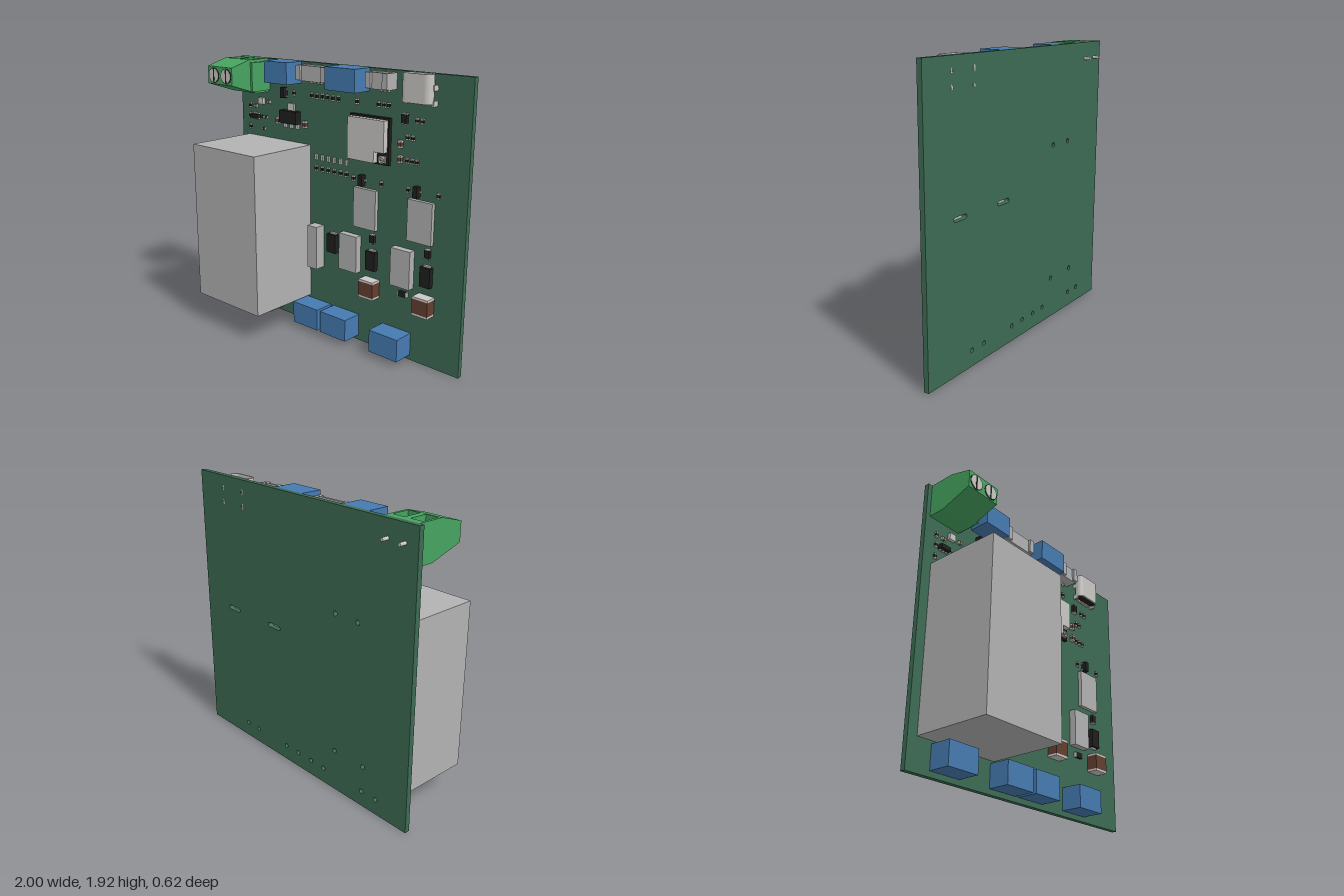
import * as THREE from 'three';

const F = -0.228, BACK = -0.263, TOP = 1.925; // board front face, back face, upper edge
const mat = (name, color, side = THREE.FrontSide) => {
  const m = new THREE.MeshStandardMaterial({ color, side });
  m.name = name;
  return m;
};

export function createModel() {
  const root = new THREE.Group();
  root.name = 'circuitBoard';
  const green = mat('boardGreen', 0x3d6b54), grey = mat('plainGrey', 0xb2b2b2),
    blue = mat('connectorBlue', 0x457ab0), lime = mat('terminalGreen', 0x46a360),
    black = mat('chipBlack', 0x1f1f1f), brown = mat('capacitorBrown', 0x633f30),
    metal = mat('metal', 0xcac8c4);

  const add = (name, geo, m, parent = root) => {
    const mesh = new THREE.Mesh(geo, m);
    mesh.name = name;
    parent.add(mesh);
    return mesh;
  };
  const group = (name) => {
    const g = new THREE.Group();
    g.name = name;
    root.add(g);
    return g;
  };
  // box given by its extents
  const box = (name, m, x0, x1, y0, y1, z1, z0 = F, parent = root) =>
    add(name, new THREE.BoxGeometry(x1 - x0, y1 - y0, z1 - z0)
      .translate((x0 + x1) / 2, (y0 + y1) / 2, (z0 + z1) / 2), m, parent);
  const poly = (pts) => new THREE.Shape(pts.map(([a, b]) => new THREE.Vector2(a, b)));
  const stadium = (P, cx, cy, w, h) => { // w >= h, full sizes
    const p = new P(), r = h / 2, d = w / 2 - r;
    p.absarc(cx + d, cy, r, -Math.PI / 2, Math.PI / 2, false);
    p.absarc(cx - d, cy, r, Math.PI / 2, Math.PI * 1.5, false);
    p.closePath();
    return p;
  };

  // board with slots and pin holes
  const plate = poly([[-1, 0], [1, 0], [1, TOP], [-1, TOP]]);
  for (const x of [0.68, 0.235]) plate.holes.push(stadium(THREE.Path, x, 0.985, 0.125, 0.03));
  const round = [[-0.365, 1.255], [-0.56, 1.255], [-0.365, 0.293], [-0.624, 0.293]];
  for (const x of [0.576, 0.45, 0.13, 0.004, -0.13, -0.255, -0.616, -0.74]) round.push([x, 0.107]);
  for (const [x, y] of round)
    plate.holes.push(new THREE.Path().absarc(x, y, 0.016, 0, Math.PI * 2, true));
  for (const x of [0.54, 0.745]) for (const y of [1.745, 1.84])
    plate.holes.push(new THREE.Path().absarc(x, y, 0.011, 0, Math.PI * 2, true));
  add('board', new THREE.ExtrudeGeometry(plate, { depth: F - BACK, bevelEnabled: false, curveSegments: 10 })
    .translate(0, 0, BACK), green);

  // large blocks
  box('powerSupply', grey, -0.93, -0.3, 0.215, 1.35, 0.31);
  for (const x of [-0.82, -0.333, -0.07, 0.38]) box('lowerConnector', blue, x, x + 0.236, 0.037, 0.196, -0.078);
  box('upperConnector', blue, -0.6, -0.38, 1.775, TOP, -0.078);
  box('upperConnector', blue, -0.03, 0.225, 1.775, TOP, -0.078);
  for (const x of [0.125, 0.575]) box('relay', grey, x, x + 0.19, 0.85, 1.128, -0.2);
  for (const x of [0.017, 0.467]) box('driver', grey, x, x + 0.157, 0.52, 0.783, -0.178);
  box('fuse', grey, -0.257, -0.17, 0.47, 0.785, -0.15);

  // screw terminal: slices along x, with wire wells open at the top
  const term = group('screwTerminal');
  const lower = [[F, 1.685], [-0.11, 1.685], [0.118, 1.757], [0.118, 1.88]];
  const solid = poly([...lower, [-0.045, TOP], [F, TOP]]);
  const well = poly([...lower, [-0.045, TOP], [-0.058, TOP], [-0.058, 1.8], [-0.182, 1.8], [-0.182, TOP], [F, TOP]]);
  const cuts = [-0.968, -0.948, -0.862, -0.82, -0.734, -0.715];
  for (let i = 0; i < 5; i++)
    add('terminalBody', new THREE.ExtrudeGeometry(i % 2 ? well : solid, { depth: cuts[i + 1] - cuts[i], bevelEnabled: false })
      .rotateY(-Math.PI / 2).translate(cuts[i + 1], 0, 0), lime, term);
  box('dovetail', lime, -0.715, -0.698, 1.7, 1.905, -0.055, F, term);
  for (const x of [-0.905, -0.777]) {
    add('screwRim', new THREE.CylinderGeometry(0.054, 0.054, 0.004, 24).rotateX(Math.PI / 2)
      .translate(x, 1.818, 0.118), black, term);
    add('screw', new THREE.CylinderGeometry(0.048, 0.048, 0.006, 24).rotateX(Math.PI / 2)
      .translate(x, 1.818, 0.119), metal, term);
    box('screwSlot', black, x - 0.006, x + 0.006, 1.772, 1.864, 0.123, 0.12, term);
    box('wireClamp', metal, x - 0.036, x + 0.036, 1.8, 1.806, -0.07, -0.17, term);
    add('terminalPin', new THREE.CylinderGeometry(0.011, 0.011, 0.09, 12).rotateX(Math.PI / 2)
      .translate(x, 1.813, -0.265), metal, term);
  }

  // side entry sockets, open at the top
  const socket = (x0, x1, n) => {
    const g = group('cableSocket'), t = 0.014;
    box('socketBack', grey, x0, x1, 1.81, 1.91, F + t, F, g);
    box('socketFront', grey, x0 + 0.03, x1 - 0.03, 1.81, 1.91, -0.142, -0.156, g);
    box('socketFloor', grey, x0, x1, 1.805, 1.825, -0.142, F, g);
    for (const x of [x0, x1 - t]) box('socketSide', grey, x, x + t, 1.81, 1.91, -0.142, F, g);
    for (const x of [x0, x1 - 0.04]) box('socketEar', grey, x, x + 0.04, 1.81, 1.91, -0.124, -0.148, g);
    for (let i = 0; i < n; i++) {
      const x = x0 + 0.055 + (x1 - x0 - 0.11) * i / (n - 1);
      box('contact', metal, x - 0.005, x + 0.005, 1.82, 1.895, -0.18, -0.19, g);
      box('solderLead', metal, x - 0.005, x + 0.005, 1.783, 1.81, -0.212, F, g);
    }
  };
  socket(-0.337, -0.07, 6);
  socket(0.272, 0.445, 3);

  // reversible data port
  const port = group('dataPort');
  const upright = (shape, y0, y1) => new THREE.ExtrudeGeometry(shape, { depth: y1 - y0, bevelEnabled: false, curveSegments: 8 })
    .rotateX(-Math.PI / 2).translate(0.636, y0, -0.187);
  const ring = stadium(THREE.Shape, 0, 0, 0.218, 0.078);
  ring.holes.push(stadium(THREE.Path, 0, 0, 0.2, 0.06));
  add('portShell', upright(ring, 1.745, TOP), metal, port);
  add('portCore', upright(stadium(THREE.Shape, 0, 0, 0.2, 0.06), 1.748, 1.79), black, port);
  add('portTongue', upright(stadium(THREE.Shape, 0, 0, 0.16, 0.022), 1.79, 1.91), black, port);
  for (const x of [0.528, 0.738]) for (const y of [1.73, 1.825])
    box('portLeg', metal, x, x + 0.014, y, y + 0.035, -0.187, BACK, port);
  for (let i = 0; i < 8; i++) box('portLead', metal, 0.572 + i * 0.017, 0.58 + i * 0.017, 1.73, 1.75, -0.218, F, port);

  // wireless module: shield with a notch for the aerial socket
  const radio = group('wirelessModule');
  box('moduleBoard', black, 0.085, 0.412, 1.313, 1.622, -0.203, F, radio);
  add('moduleShield', new THREE.ExtrudeGeometry(poly([[0.096, 1.325], [0.32, 1.325], [0.32, 1.4], [0.4, 1.4], [0.4, 1.608], [0.096, 1.608]]),
    { depth: 0.04, bevelEnabled: false }).translate(0, 0, -0.203), metal, radio);
  box('aerialBase', metal, 0.34, 0.394, 1.328, 1.374, -0.195, -0.203, radio);
  add('aerialRing', new THREE.TorusGeometry(0.022, 0.006, 6, 16).translate(0.367, 1.351, -0.187), metal, radio);
  add('aerialPin', new THREE.CylinderGeometry(0.006, 0.006, 0.018, 10).rotateX(Math.PI / 2)
    .translate(0.367, 1.351, -0.188), metal, radio);

  // two-ended part: body with a metal cap at each end of its long side
  const chip = (name, m, x, y, w, h, height, cap = 0.009) => {
    const g = group(name), z = F + height;
    if (h >= w) {
      box('body', m, x - w / 2, x + w / 2, y - h / 2 + cap, y + h / 2 - cap, z, F, g);
      for (const s of [-1, 1]) box('endCap', metal, x - w / 2, x + w / 2, y + s * (h / 2 - cap / 2) - cap / 2, y + s * (h / 2 - cap / 2) + cap / 2, z, F, g);
    } else {
      box('body', m, x - w / 2 + cap, x + w / 2 - cap, y - h / 2, y + h / 2, z, F, g);
      for (const s of [-1, 1]) box('endCap', metal, x + s * (w / 2 - cap / 2) - cap / 2, x + s * (w / 2 - cap / 2) + cap / 2, y - h / 2, y + h / 2, z, F, g);
    }
  };
  for (const x of [0.282, 0.732]) chip('largeCapacitor', brown, x, 0.438, 0.122, 0.13, 0.078, 0.015);

  // power diodes: black body with flat tabs
  for (const [x, y] of [[-0.07, 0.677], [0.282, 0.633], [0.732, 0.633]]) {
    box('diodeBody', black, x - 0.04, x + 0.04, y - 0.067, y + 0.067, -0.193);
    box('diodeTabs', metal, x - 0.026, x + 0.026, y - 0.078, y + 0.078, -0.211);
  }
  for (const x of [0.282, 0.732]) chip('smallDiode', black, x, 0.787, 0.038, 0.068, 0.022, 0.005);
  chip('smallDiode', black, 0.548, 0.463, 0.072, 0.036, 0.022, 0.006);
  chip('smallDiode', black, 0.522, 1.632, 0.04, 0.07, 0.025, 0.005);

  // three-legged transistors
  for (const [x, y, s] of [[0.187, 1.18, -1], [0.635, 1.18, -1], [-0.54, 1.697, 1]]) {
    box('transistor', black, x - 0.017, x + 0.017, y - 0.037, y + 0.037, -0.188);
    for (const dy of [-0.025, 0.025]) box('transistorLead', metal, x + s * 0.02 - 0.01, x + s * 0.02 + 0.01, y + dy - 0.005, y + dy + 0.005, -0.216);
    box('transistorLead', metal, x - s * 0.02 - 0.01, x - s * 0.02 + 0.01, y - 0.005, y + 0.005, -0.216);
  }

  // voltage regulator
  box('regulator', black, -0.558, -0.393, 1.484, 1.575, -0.178);
  box('regulatorTab', metal, -0.505, -0.447, 1.575, 1.625, -0.212);
  for (const x of [-0.537, -0.476, -0.415]) box('regulatorLead', metal, x - 0.012, x + 0.012, 1.448, 1.484, -0.212);

  // small logic chip and sensor
  box('logicChip', black, -0.88, -0.805, 1.482, 1.512, -0.19);
  for (const x of [-0.868, -0.843, -0.818]) box('logicLead', metal, x - 0.006, x + 0.006, 1.472, 1.522, -0.214);
  box('sensor', metal, -0.805, -0.755, 1.59, 1.637, -0.205);

  // rows and scattered small parts
  for (let i = 0; i < 6; i++) {
    const x = -0.237 + i * 0.0565;
    chip('resistor', black, x, 1.195, 0.022, 0.04, 0.014);
    chip('lightDiode', grey, x, 1.275, 0.022, 0.04, 0.014, 0.011);
    chip('resistor', black, -0.28 + i * 0.049, 1.7, 0.02, 0.042, 0.014);
  }
  for (const [x, y] of [[0.128, 1.7], [0.308, 1.7], [0.352, 1.7], [0.39, 1.7], [-0.452, 1.7], [0.107, 1.18],
    [0.345, 1.18], [0.56, 1.18], [0.794, 1.18], [-0.906, 1.497], [-0.906, 1.572], [-0.906, 1.412]])
    chip('resistor', black, x, y, 0.02, 0.038, 0.014);
  for (const [x, y] of [[0.612, 1.628], [0.652, 1.628], [0.545, 1.515], [0.585, 1.515], [0.545, 1.367], [0.585, 1.367],
    [0.622, 1.367]])
    chip('resistor', black, x, y, 0.022, 0.036, 0.014);
  for (const [x, y] of [[-0.772, 1.497], [-0.735, 1.497], [-0.762, 1.41]])
    chip('resistor', black, x, y, 0.03, 0.02, 0.014, 0.007);
  for (const [x, y] of [[-0.847, 1.57], [-0.703, 1.612]]) chip('capacitor', brown, x, y, 0.034, 0.022, 0.016);
  for (const [x, y] of [[-0.607, 1.49], [-0.34, 1.49], [0.493, 1.467], [0.493, 1.37]])
    chip('capacitor', brown, x, y, 0.028, 0.048, 0.025, 0.011);

  return root;
}
